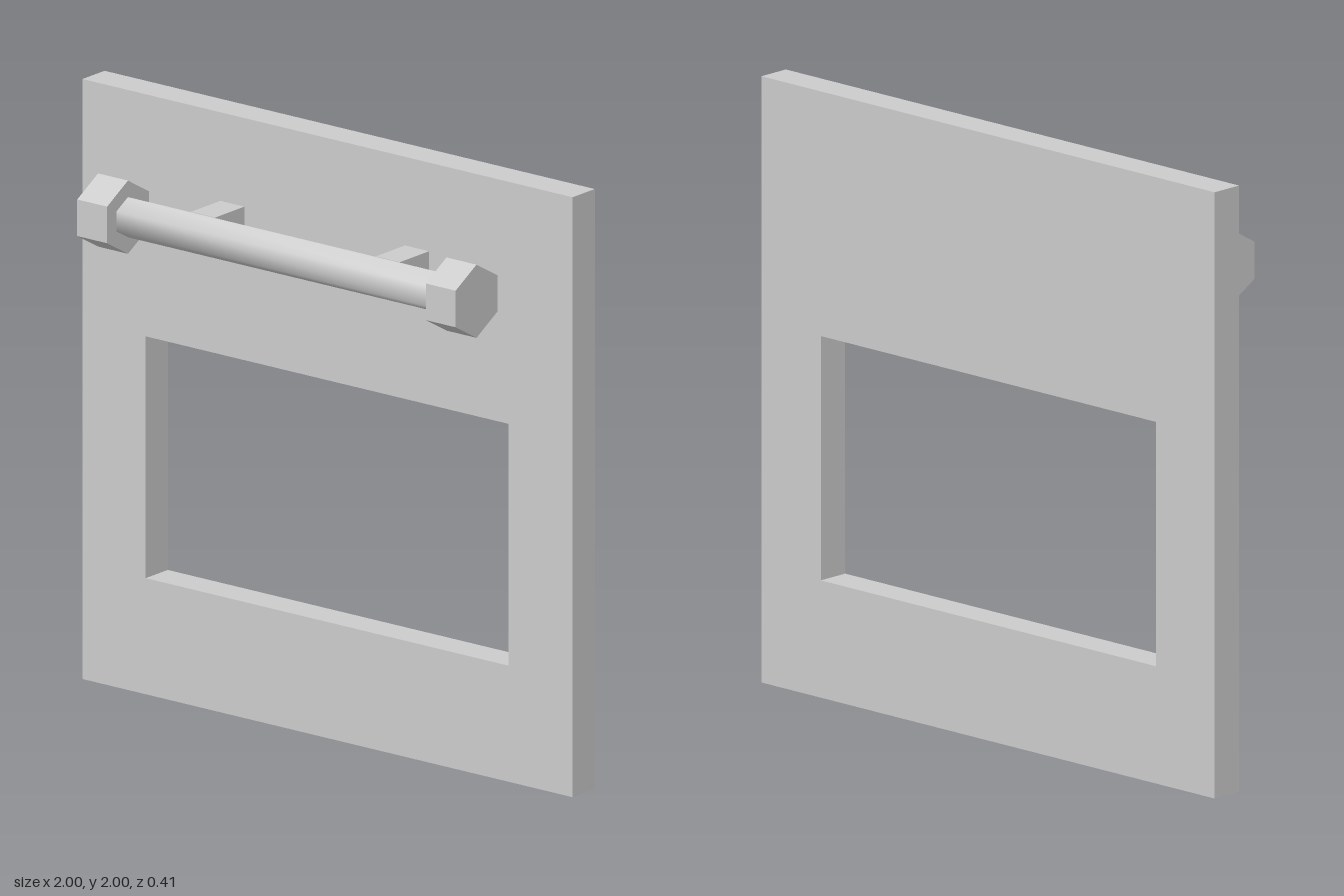
import * as THREE from 'three';

export function createModel() {
  const model = new THREE.Group();
  const flat = new THREE.MeshStandardMaterial({ color: 0xcccccc, flatShading: true });
  const smooth = new THREE.MeshStandardMaterial({ color: 0xcccccc });
  const barY = 1.653, barZ = 0.098;

  const add = (name, geometry, material, x, y, z) => {
    const mesh = new THREE.Mesh(geometry, material);
    mesh.name = name;
    mesh.position.set(x, y, z);
    model.add(mesh);
  };

  // Square panel with a rectangular window
  const outline = new THREE.Shape([[-1, 0], [1, 0], [1, 2], [-1, 2]].map(p => new THREE.Vector2(...p)));
  outline.holes.push(new THREE.Path(
    [[-0.742, 0.387], [-0.742, 1.193], [0.738, 1.193], [0.738, 0.387]].map(p => new THREE.Vector2(...p))));
  add('panel', new THREE.ExtrudeGeometry(outline, { depth: 0.112, bevelEnabled: false }), flat, 0, 0, -0.205);

  // Six-sided bar: softened front half, faceted back half
  const halfBar = start => new THREE.CylinderGeometry(0.067, 0.067, 1.32, 3, 1, true, start, Math.PI).rotateZ(Math.PI / 2);
  const front = halfBar(-Math.PI / 2);
  front.computeVertexNormals();
  add('barFront', front, smooth, -0.01, barY, barZ);
  add('barBack', halfBar(Math.PI / 2), flat, -0.01, barY, barZ);

  for (const side of [-1, 1]) {
    const prefix = side < 0 ? 'right' : 'left';
    // Hexagonal end knobs, corner up
    const knob = new THREE.CylinderGeometry(0.122, 0.122, 0.122, 6, 1, false, Math.PI / 2).rotateZ(Math.PI / 2);
    add(prefix + 'Knob', knob, flat, -0.011 + side * 0.711, barY, barZ);
    // Square posts joining the bar to the panel
    add(prefix + 'Post', new THREE.BoxGeometry(0.098, 0.095, 0.15), flat, -0.012 + side * 0.377, 1.657, -0.02);
  }
  return model;
}
